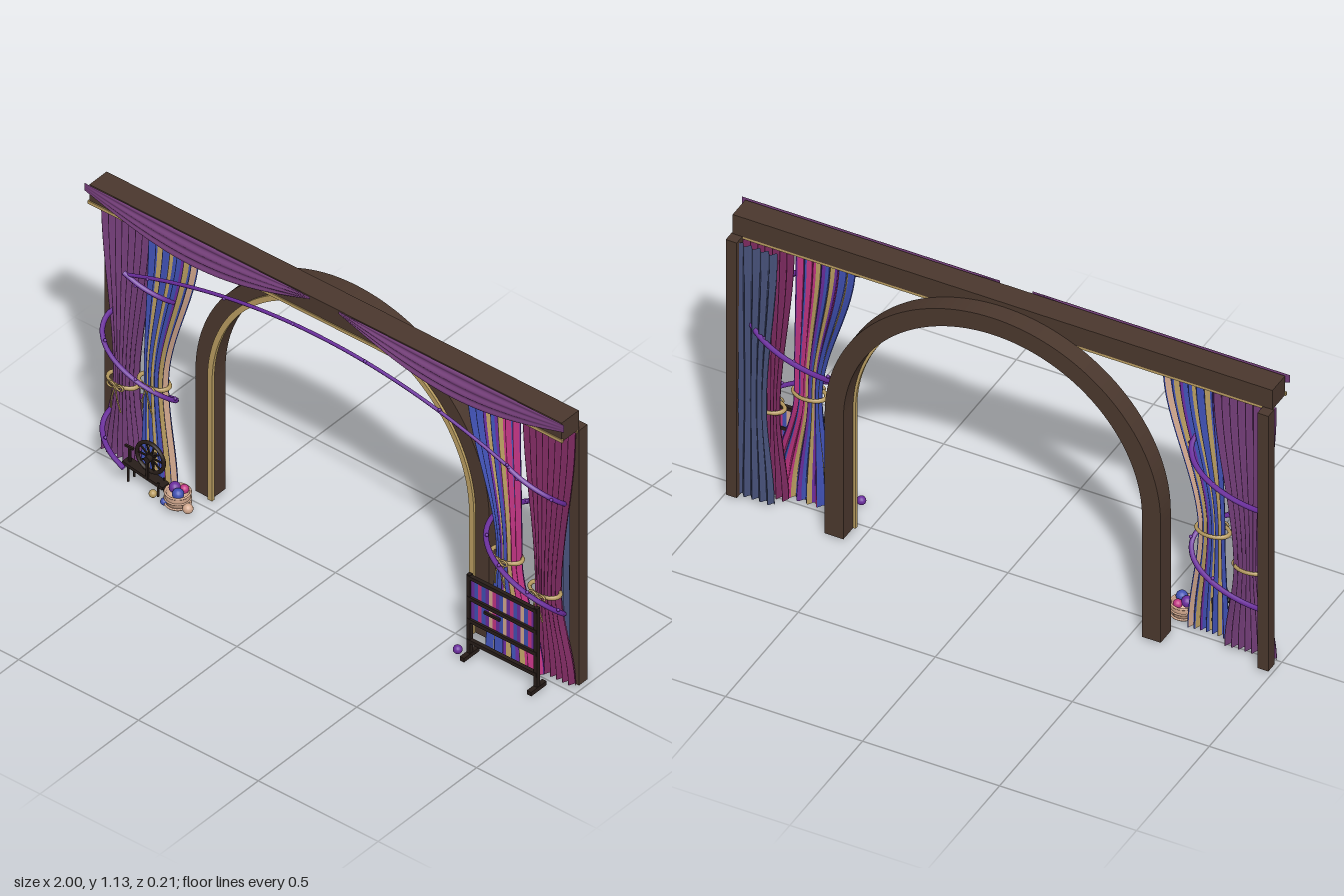
import * as THREE from 'three';

const mat = (name, color, side = THREE.FrontSide) => {
  const m = new THREE.MeshStandardMaterial({ color, side });
  m.name = name;
  return m;
};
const DS = THREE.DoubleSide;
const wood = mat('brown wood', 0x4a372d);
const dark = mat('dark wood', 0x261c18);
const gold = mat('gold', 0xb89c60, DS);
const plum = mat('plum cloth', 0x733d78, DS);
const magenta = mat('magenta cloth', 0x7d2a60, DS);
const blue = mat('blue cloth', 0x3f50b2, DS);
const pink = mat('pink cloth', 0xc03482, DS);
const violet = mat('violet', 0x6a2c9c, DS);
const slate = mat('slate cloth', 0x465078, DS);
const peach = mat('peach', 0xd2a88e, DS);

export function createModel() {
  const root = new THREE.Group();
  root.name = 'curtainedArch';

  const add = (name, geo, material, x = 0, y = 0, z = 0, parent = root) => {
    const m = new THREE.Mesh(geo, material);
    m.name = name;
    m.position.set(x, y, z);
    parent.add(m);
    return m;
  };
  const box = (name, material, x0, x1, y0, y1, z0, z1, parent) =>
    add(name, new THREE.BoxGeometry(x1 - x0, y1 - y0, z1 - z0), material,
      (x0 + x1) / 2, (y0 + y1) / 2, (z0 + z1) / 2, parent);
  const ball = (name, material, r, x, y, z) =>
    add(name, new THREE.SphereGeometry(r, 14, 10), material, x, y, z);
  const tube = (name, material, pts, r, n = 24) =>
    add(name, new THREE.TubeGeometry(new THREE.CatmullRomCurve3(
      pts.map(p => new THREE.Vector3(...p))), n, r, 6), material);

  // cloth sheet from a surface rule; colours run in columns
  const sheet = (name, nu, nv, fn, colours) => {
    const pos = [], idx = [], geo = new THREE.BufferGeometry();
    for (let i = 0; i <= nu; i++)
      for (let j = 0; j <= nv; j++) pos.push(...fn(i / nu, j / nv));
    const used = [...new Set(colours)];
    for (let i = 0; i < nu; i++) {
      geo.addGroup(idx.length, nv * 6, used.indexOf(colours[Math.floor(i * colours.length / nu)]));
      for (let j = 0; j < nv; j++) {
        const a = i * (nv + 1) + j, b = a + nv + 1;
        idx.push(a, a + 1, b, b, a + 1, b + 1);
      }
    }
    geo.setAttribute('position', new THREE.Float32BufferAttribute(pos, 3));
    geo.setIndex(idx);
    geo.computeVertexNormals();
    return add(name, geo, used);
  };

  // gathered curtain: keys are [y, left edge, right edge] from top to bottom
  const curtain = (name, keys, z, folds, amp, colours) => {
    const top = keys[0][0], bottom = keys[keys.length - 1][0];
    sheet(name, 120, 40, (u, v) => {
      const y = top + (bottom - top) * v;
      let k = 0;
      while (k < keys.length - 2 && y < keys[k + 1][0]) k++;
      const [ya, la, ra] = keys[k], [yb, lb, rb] = keys[k + 1];
      const t = THREE.MathUtils.smoothstep((ya - y) / (ya - yb), 0, 1);
      const l = la + (lb - la) * t, r = ra + (rb - ra) * t;
      const pinch = 1 - (r - l) / (keys[0][2] - keys[0][1]);
      const fold = amp * Math.sin(u * folds * Math.PI * 2);
      return [l + (r - l) * u, y, z + fold + 0.03 * pinch * Math.sin(Math.PI * u)];
    }, colours);
  };

  // arch with gold edging
  const archShape = (ro, ri) => {
    const s = new THREE.Shape();
    s.moveTo(-ro, 0.01);
    s.lineTo(-ro, 0.5);
    s.absarc(0, 0.5, ro, Math.PI, 0, true);
    s.lineTo(ro, 0.01);
    s.lineTo(ri, 0.01);
    s.lineTo(ri, 0.5);
    s.absarc(0, 0.5, ri, 0, Math.PI, false);
    s.lineTo(-ri, 0.01);
    s.closePath();
    return s;
  };
  const extrude = (s, depth) => new THREE.ExtrudeGeometry(s, { depth, bevelEnabled: false, curveSegments: 36 });
  add('arch', extrude(archShape(0.613, 0.545), 0.07), wood, 0, 0, -0.105);
  add('archTrim', extrude(archShape(0.556, 0.536), 0.012), gold, 0, 0, -0.038);

  // beam, gold strips and side posts
  box('beam', wood, -0.985, 0.985, 1.052, 1.13, -0.037, 0.05);
  box('beamTrimFront', gold, -0.99, 0.99, 1.052, 1.064, 0.046, 0.054);
  box('beamTrimLower', gold, -0.985, 0.985, 1.042, 1.052, -0.036, -0.028);
  for (const s of [-1, 1]) box('post', wood, s * 0.97 - 0.02, s * 0.97 + 0.02, 0.01, 1.052, -0.075, -0.032);

  // swags over the beam
  for (const s of [-1, 1])
    sheet('swag', 40, 24, (u, v) => {
      const drop = 0.03 - 0.02 * u + 0.098 * Math.sin(Math.PI * u);
      const puff = Math.sin(Math.PI * u);
      return [s * (1 - 0.94 * u), 1.133 - drop * v,
        0.057 + puff * (0.009 * Math.sin(v * Math.PI) + 0.005 * Math.sin(v * Math.PI * 7))];
    }, [plum]);

  // curtains
  curtain('leftOuterCurtain', [[1.04, -0.99, -0.76], [0.35, -0.935, -0.835], [0.015, -0.99, -0.8]],
    -0.018, 8, 0.011, [plum]);
  curtain('leftInnerCurtain', [[1.04, -0.77, -0.56], [0.43, -0.785, -0.69], [0.015, -0.8, -0.65]],
    0.01, 7, 0.01, [blue, blue, violet, blue, gold, blue, blue, blue, blue, gold, blue, blue,
      blue, violet, blue, gold, blue, blue, peach, blue]);
  curtain('rightOuterCurtain', [[1.04, 0.77, 0.985], [0.36, 0.825, 0.925], [0.015, 0.79, 0.985]],
    -0.018, 8, 0.011, [magenta]);
  curtain('rightInnerCurtain', [[1.04, 0.56, 0.78], [0.45, 0.685, 0.785], [0.015, 0.635, 0.88]],
    0.01, 7, 0.01, [blue, blue, gold, blue, blue, pink, violet, gold, blue, blue, violet, blue,
      gold, pink, pink, pink, blue, pink, pink, violet]);
  curtain('rightBackCurtain', [[1.04, 0.81, 0.965], [0.4, 0.85, 0.955], [0.015, 0.82, 0.965]],
    -0.058, 5, 0.008, [slate]);

  // tie cords with bows and tails
  for (const [x, y, z] of [[-0.885, 0.35, 0], [-0.737, 0.43, 0.022], [0.735, 0.45, 0.022], [0.875, 0.365, 0]]) {
    const ring = add('tieCord', new THREE.TorusGeometry(0.058, 0.008, 6, 28), gold, x, y, z);
    ring.rotation.x = Math.PI / 2;
    ring.scale.y = 0.62;
    for (const s of [-1, 1]) {
      const loop = add('tieBow', new THREE.TorusGeometry(0.015, 0.004, 6, 14), gold, x + s * 0.018, y, z + 0.042);
      loop.scale.y = 0.7;
      tube('tieTail', gold, [[x, y, z + 0.042], [x + s * 0.012, y - 0.05, z + 0.045], [x + s * 0.02, y - 0.1, z + 0.038]], 0.003, 8);
    }
  }

  // vines: a festoon and a coil on each side, dotted with buds
  const coil = (cx, rx, y0, pitch, t0, t1, dir) => {
    const p = [];
    for (let i = 0; i <= 30; i++) {
      const t = t0 + (t1 - t0) * i / 30;
      p.push([cx + rx * Math.sin(t), y0 - pitch * t / (2 * Math.PI), 0.01 + 0.08 * Math.cos(t)]);
    }
    return p;
  };
  const festoon = [];
  for (let i = 0; i <= 16; i++) {
    const x = -0.8 + 0.1 * i;
    festoon.push([x, 1.02 - 0.145 * (x / 0.8) ** 2, 0.086]);
  }
  const vines = [festoon, coil(-0.81, 0.14, 0.88, 0.4, 0, 4 * Math.PI),
    coil(0.8, 0.15, 0.875, 0.45, 0, 2.6 * Math.PI)];
  vines.forEach((pts, v) => {
    tube('vine', violet, pts, v ? 0.009 : 0.0065, 140);
    pts.forEach(([x, y, z], i) => {
      if (i % 3 === 1) ball('bud', violet, 0.006, x + 0.01 * Math.sin(i * 5), y + 0.014 * Math.cos(i * 2), z + 0.004);
    });
  });

  // spinning wheel
  const wheel = new THREE.Group();
  wheel.name = 'spinningWheel';
  wheel.position.set(-0.735, 0.135, 0.045);
  root.add(wheel);
  add('rim', new THREE.TorusGeometry(0.056, 0.007, 8, 32), dark, 0, 0, 0, wheel);
  const hub = add('hub', new THREE.CylinderGeometry(0.012, 0.012, 0.04, 12), dark, 0, 0, 0, wheel);
  hub.rotation.x = Math.PI / 2;
  for (let i = 0; i < 5; i++)
    add('spokes', new THREE.BoxGeometry(0.112, 0.005, 0.005), dark, 0, 0, 0, wheel).rotation.z = i * Math.PI / 5;
  add('bench', new THREE.BoxGeometry(0.17, 0.012, 0.035), dark, -0.02, -0.075, 0, wheel).rotation.z = -0.16;
  for (const z of [-0.016, 0.016]) {
    box('support', dark, -0.004, 0.004, -0.08, 0.004, z - 0.003, z + 0.003, wheel);
    for (const x of [-0.08, 0.045])
      add('leg', new THREE.CylinderGeometry(0.004, 0.004, 0.056, 6), dark, x, -0.1, z, wheel);
  }
  box('spindlePost', dark, -0.09, -0.082, -0.07, 0.0, -0.004, 0.004, wheel);
  box('spindle', dark, -0.105, -0.07, -0.005, 0.003, -0.004, 0.004, wheel);

  // yarn basket and loose balls
  const profile = [[0, 0], [0.034, 0], [0.042, 0.035], [0.044, 0.055], [0.038, 0.055], [0.034, 0.02], [0, 0.015]];
  add('basket', new THREE.LatheGeometry(profile.map(p => new THREE.Vector2(...p)), 20), peach, -0.61, 0.01, 0.058);
  for (const y of [0.022, 0.042, 0.065])
    add('basketBand', new THREE.TorusGeometry(0.042, 0.004, 6, 24), peach, -0.61, y, 0.058).rotation.x = Math.PI / 2;
  ball('yarn', blue, 0.02, -0.595, 0.072, 0.075);
  ball('yarn', violet, 0.02, -0.625, 0.073, 0.055);
  ball('yarn', pink, 0.016, -0.6, 0.068, 0.037);
  ball('yarn', peach, 0.018, -0.558, 0.028, 0.07);
  ball('yarn', gold, 0.014, -0.7, 0.022, 0.075);
  ball('yarn', blue, 0.013, -0.645, 0.023, 0.085);
  ball('yarn', violet, 0.016, 0.58, 0.026, 0.085);

  // loom
  for (const x of [0.61, 0.89]) {
    box('loomPost', dark, x - 0.007, x + 0.007, 0.005, 0.335, 0.053, 0.068);
    box('loomFoot', dark, x - 0.009, x + 0.009, 0, 0.016, 0.022, 0.1);
  }
  for (const y of [0.325, 0.24, 0.15, 0.065]) box('loomBar', dark, 0.605, 0.895, y - 0.007, y + 0.007, 0.056, 0.07);
  const weave = [violet, blue, pink, blue, violet, peach, pink, violet, blue, peach, violet, pink,
    blue, violet, peach, blue, pink, violet];
  const w = 0.266 / weave.length;
  weave.forEach((m, i) => box('loomCloth', m, 0.617 + i * w, 0.617 + (i + 1) * w, 0.15, 0.32, 0.058, 0.062));
  box('shuttle', dark, 0.675, 0.74, 0.208, 0.218, 0.06, 0.07);

  return root;
}
